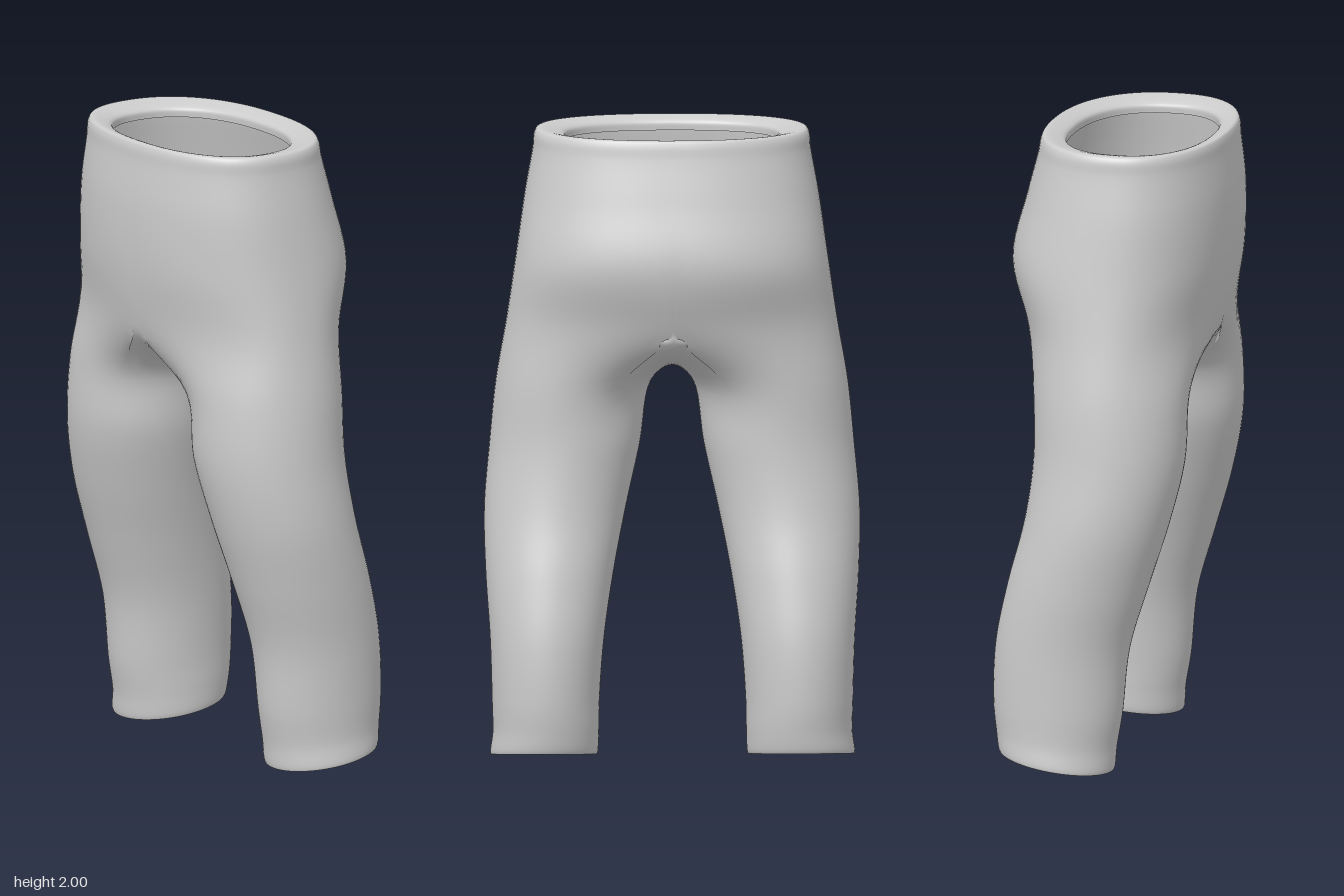
import * as THREE from 'three';
import { mergeGeometries, mergeVertices } from 'three/addons/utils/BufferGeometryUtils.js';

const OUT = 44;   // columns around the outside of each half
const INN = 22;   // columns around the inside of each leg
const STEP = 6;   // rows between neighbouring key sections
const SPREAD = 0.6; // how far the outside columns wrap round the leg

// Torso sections from the folded waist edge down: y, half width, front z, back z
const TORSO = [
  [1.955, 0.335, 0.27, -0.18],
  [1.98, 0.337, 0.272, -0.182],
  [1.995, 0.375, 0.292, -0.212],
  [2.0, 0.422, 0.322, -0.246],
  [1.985, 0.433, 0.33, -0.255],
  [1.94, 0.438, 0.334, -0.264],
  [1.8, 0.463, 0.348, -0.3],
  [1.6, 0.492, 0.343, -0.344],
  [1.4, 0.521, 0.31, -0.285],
];
// Leg sections down to the hem: y, inner x, outer x, front z, back z, slope
const LEG = [
  [1.2, 0.065, 0.555, 0.277, -0.215, 0],
  [1.0, 0.1, 0.575, 0.272, -0.208, 0],
  [0.8, 0.145, 0.592, 0.23, -0.23, 0],
  [0.6, 0.185, 0.588, 0.17, -0.28, 0],
  [0.4, 0.215, 0.575, 0.11, -0.318, 0.03],
  [0.2, 0.23, 0.569, 0.088, -0.325, 0.08],
  [0.1, 0.232, 0.567, 0.07, -0.316, 0.12],
  [0.03, 0.237, 0.574, 0.062, -0.303, 0.15],
];
// Turned-in hem: scale and rise from the last leg section
const HEM = [[0.97, -0.002], [0.88, 0.006], [0.68, 0.016], [0.46, 0.03]];

const power = (v, e) => Math.sign(v) * Math.abs(v) ** e;

// Half section of the torso: angle 0 is front centre, PI is back centre
function torsoPoint([y, w, front, back], a) {
  const cz = (front + back) / 2 + 0.015, c = Math.cos(a);
  const rz = c > 0 ? front - cz : cz - back;
  return new THREE.Vector3(w * power(Math.sin(a), 0.87), y, cz + rz * power(c, 0.87));
}

// Oval section of the leg, with its plane sloping down to the front
function legPoint([y, x0, x1, front, back, slope], a, scale = 1, rise = 0) {
  const x = Math.sin(a) * scale * (x1 - x0) / 2;
  const z = Math.cos(a) * scale * (front - back) / 2;
  return new THREE.Vector3((x0 + x1) / 2 + x, y + rise - slope * z, (front + back) / 2 + z);
}

function legKeys(a) {
  const hem = LEG[LEG.length - 1];
  return [...LEG.map((s) => legPoint(s, a)), ...HEM.map(([k, r]) => legPoint(hem, a, k, r))];
}

// Sample a smooth curve through the keys, starting at key number `first`
function column(keys, first) {
  const curve = new THREE.CatmullRomCurve3(keys, false, 'centripetal');
  const last = keys.length - 1, points = [];
  for (let i = first * STEP; i <= last * STEP; i++) points.push(curve.getPoint(i / (last * STEP)));
  return points;
}

// Surface across neighbouring columns, mirrored in x when side is -1
function sheet(columns, side) {
  const rows = columns[0].length, pos = [], index = [];
  columns.forEach((col) => col.forEach((p) => pos.push(p.x * side, p.y, p.z)));
  for (let j = 0; j < columns.length - 1; j++) {
    for (let i = 0; i < rows - 1; i++) {
      const a = j * rows + i, b = a + 1, c = a + rows, d = c + 1;
      if (side > 0) index.push(a, b, c, b, d, c);
      else index.push(a, c, b, b, c, d);
    }
  }
  const geo = new THREE.BufferGeometry();
  geo.setAttribute('position', new THREE.Float32BufferAttribute(pos, 3));
  geo.setIndex(index);
  return geo;
}

export function createModel() {
  const group = new THREE.Group();
  group.name = 'trousers';
  const material = new THREE.MeshStandardMaterial({ color: 0xcccccc, side: THREE.DoubleSide });

  // Outside columns run from the waist edge to the hem
  const outer = [];
  for (let j = 0; j <= OUT; j++) {
    const t = j / OUT;
    const legAngle = -SPREAD + t * (Math.PI + 2 * SPREAD);
    outer.push(column([...TORSO.map((s) => torsoPoint(s, t * Math.PI)), ...legKeys(legAngle)], 0));
  }

  // Inside columns start on the crotch curve and arch over to the other leg
  const split = (TORSO.length - 1) * STEP;
  const [topY, , front, back] = TORSO[TORSO.length - 1];
  const inner = [outer[OUT].slice(split)];
  for (let j = 1; j < INN; j++) {
    const t = j / INN;
    const keys = legKeys(Math.PI + SPREAD + t * (Math.PI - 2 * SPREAD));
    const crotch = new THREE.Vector3(0, topY - (topY - 1.255) * Math.sin(t * Math.PI),
      (front + back) / 2 - Math.cos(t * Math.PI) * (front - back) / 2);
    const opposite = keys[0].clone().setX(-keys[0].x);
    inner.push(column([opposite, crotch, ...keys], 1));
  }
  inner.push(outer[0].slice(split));

  // Both halves joined into one smooth garment
  const parts = [1, -1].flatMap((side) => [sheet(outer, side), sheet(inner, side)]);
  const geometry = mergeVertices(mergeGeometries(parts), 1e-4);
  geometry.computeVertexNormals();
  const body = new THREE.Mesh(geometry, material);
  body.name = 'trouserBody';
  group.add(body);

  // Flat discs inside the hems
  const [y, x0, x1, zf, zb, slope] = LEG[LEG.length - 1];
  const [scale, rise] = HEM[HEM.length - 1];
  for (const side of [1, -1]) {
    const disc = new THREE.CircleGeometry(1, 40).rotateX(Math.PI / 2);
    disc.scale(scale * (x1 - x0) / 2, 1, scale * (zf - zb) / 2);
    const cap = new THREE.Mesh(disc, material);
    cap.name = side > 0 ? 'leftHemDisc' : 'rightHemDisc';
    cap.rotation.x = Math.atan(slope);
    cap.position.set(side * (x0 + x1) / 2, y + rise, (zf + zb) / 2);
    group.add(cap);
  }
  return group;
}
